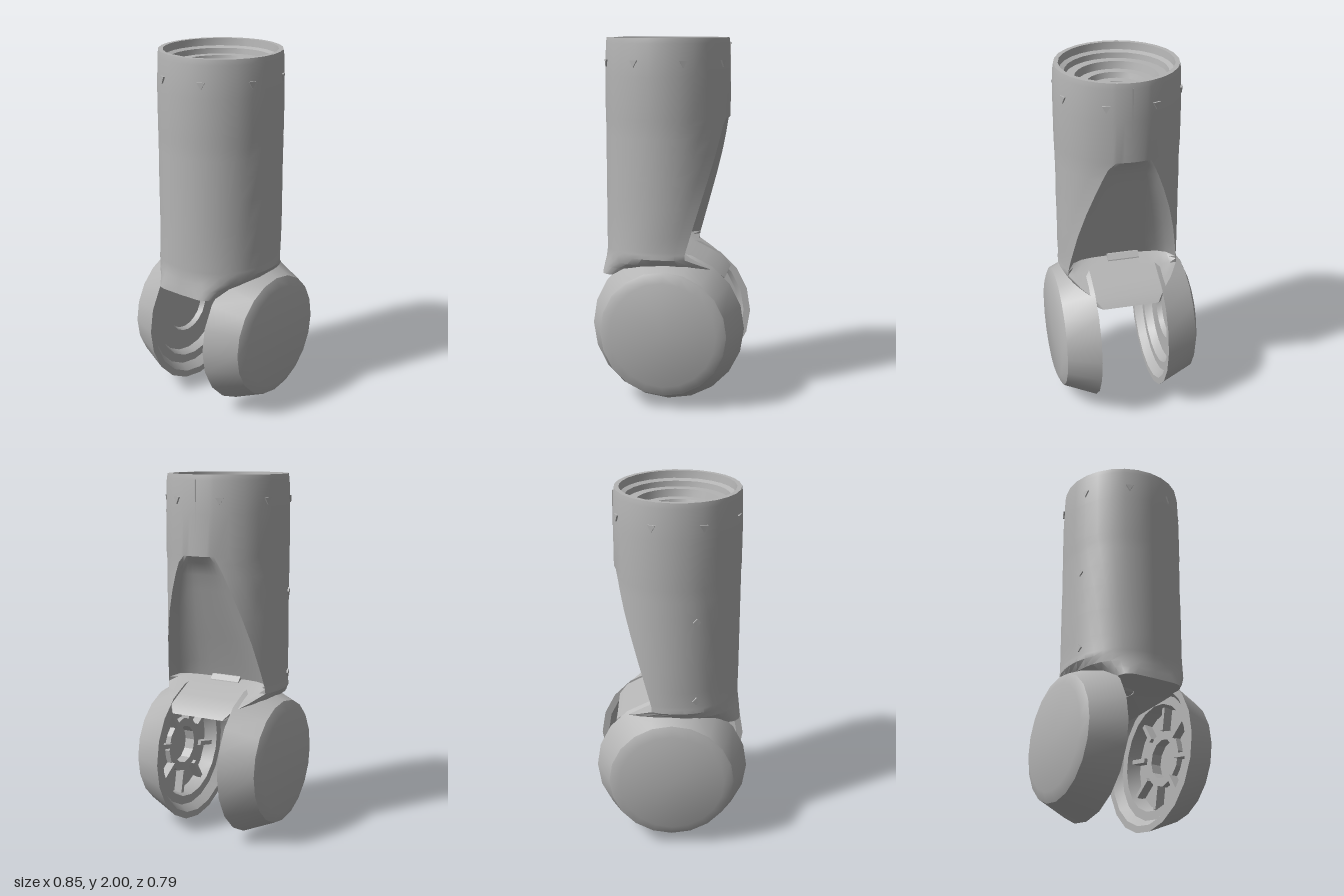
import * as THREE from 'three';
import { toCreasedNormals } from 'three/addons/utils/BufferGeometryUtils.js';

const CX = -0.03;    // axis of the tube
const HUB_Y = 0.424; // axle height

const grey = new THREE.MeshStandardMaterial({ color: 0xb4b4b4 });
grey.name = 'plain grey';

function add(parent, name, geometry, crease = 0.5) {
  const mesh = new THREE.Mesh(toCreasedNormals(geometry, crease), grey);
  mesh.name = name;
  parent.add(mesh);
  return mesh;
}

// Horizontal section: superellipse of power n; cut flattens it on +x, hollow dishes the flat
function section(y, rx, rz, n = 2, cut = null, hollow = 0) {
  const ARC = 24, CHORD = 10, pts = [];
  const a0 = cut === null ? 0.3 : Math.acos(Math.pow((cut - CX) / rx, n / 2));
  for (let i = 0; i < ARC + CHORD; i++) {
    const onChord = i < CHORD;
    const s = onChord ? (i / CHORD) * 2 - 1 : 0;
    const t = onChord ? s * a0 : a0 + ((i - CHORD) / ARC) * (2 * Math.PI - 2 * a0);
    const c = Math.cos(t), d = Math.sin(t);
    let x = CX + rx * Math.sign(c) * Math.pow(Math.abs(c), 2 / n);
    const z = rz * Math.sign(d) * Math.pow(Math.abs(d), 2 / n);
    if (cut !== null && onChord) x = Math.min(x, cut - hollow * (1 - s ** 4));
    pts.push([x, y, z]);
  }
  return pts;
}

// Skin over a closed run of sections
function loft(rings) {
  const n = rings[0].length, index = [];
  for (let i = 0; i < rings.length; i++) {
    const k = (i + 1) % rings.length;
    for (let j = 0; j < n; j++) {
      const m = (j + 1) % n;
      const a = i * n + j, b = i * n + m, c = k * n + j, d = k * n + m;
      index.push(a, c, b, b, c, d);
    }
  }
  const g = new THREE.BufferGeometry();
  g.setAttribute('position', new THREE.Float32BufferAttribute(rings.flat(2), 3));
  g.setIndex(index);
  g.computeVertexNormals();
  return g;
}

function createTube() {
  const rings = [
    // saddle between the hubs, rounded along the hub outline on +x
    section(0.70, 0.355, 0.20, 6, 0.31),
    section(0.745, 0.35, 0.245, 3.5, 0.265),
    section(0.785, 0.345, 0.31, 2.4, 0.19),
    section(0.825, 0.342, 0.338, 2.1, 0.11),
    section(0.85, 0.342, 0.336, 2.1, 0.11, 0.06),
    section(0.865, 0.342, 0.335, 2.1, 0.113, 0.1),
  ];
  // sloping dished scoop on the +x side: height, edge position, depth of the dish
  const scoop = [
    [0.95, 0.137, 0.095], [1.1, 0.18, 0.08], [1.25, 0.223, 0.065],
    [1.38, 0.257, 0.05], [1.47, 0.277, 0.035], [1.535, 0.29, 0.015],
  ];
  for (const [y, x, depth] of scoop) rings.push(section(y, 0.343, 0.338, 2, x, depth));
  // plain upper wall, then down through the stepped socket and the centre bore
  const steps = [
    [0.345, 1.575], [0.345, 1.8], [0.34, 1.97], [0.335, 2.0], [0.31, 2.0], [0.305, 1.96],
    [0.28, 1.95], [0.275, 1.92], [0.225, 1.92], [0.215, 1.88],
    [0.165, 1.88], [0.155, 1.85], [0.1, 1.85], [0.09, 1.5], [0.07, 0.75],
  ];
  for (const [r, y] of steps) rings.push(section(y, r, r * 0.985));
  return loft(rings);
}

// One hub, built facing +z; inner face toward z = 0
function createHub(name, finned) {
  const hub = new THREE.Group();
  hub.name = name;
  const floor = finned ? 0.31 : 0.28;
  const pit = finned ? 0.34 : 0.31;
  const profile = [
    [0, pit], [0.15, pit], [0.16, floor], [0.28, floor], [0.30, 0.235], [0.35, 0.235],
    [0.385, 0.19], [0.423, 0.19], [0.345, 0.37], [0.335, 0.375], [0.29, 0.393], [0, 0.397],
  ].map(([r, z]) => new THREE.Vector2(r, z));
  const shell = new THREE.LatheGeometry(profile, 20);
  shell.rotateX(Math.PI / 2);
  add(hub, 'hubShell', shell);
  if (finned) {
    // radial fins and a central ring inside the hollow
    for (let i = 0; i < 8; i++) {
      const fin = new THREE.BoxGeometry(0.13, 0.025, 0.06);
      fin.translate(0.22, 0, 0.29);
      fin.rotateZ((i / 8) * Math.PI * 2 + 0.2);
      add(hub, 'hubFin', fin);
    }
    const ring = [[0.11, 0.35], [0.11, 0.28], [0.16, 0.28], [0.16, 0.35]];
    const g = new THREE.LatheGeometry(ring.map(([r, z]) => new THREE.Vector2(r, z)), 12);
    g.rotateX(Math.PI / 2);
    add(hub, 'hubInnerRing', g);
  }
  return hub;
}

// Thin stud lying on the tube wall at a given angle and height
function addStud(parent, name, sides, angle, y, size) {
  const g = new THREE.CylinderGeometry(size, size, 0.009, sides);
  g.rotateX(Math.PI / 2);
  const stud = add(parent, name, g);
  stud.position.set(CX + 0.345 * Math.sin(angle), y, 0.34 * Math.cos(angle));
  stud.rotation.y = angle;
}

export function createModel() {
  const model = new THREE.Group();
  model.name = 'jointedLimb';

  add(model, 'tube', createTube(), 0.55);

  // ring of small triangles below the rim
  for (let i = 0; i < 8; i++) {
    addStud(model, 'rimTriangle', 3, ((i + 0.5) / 8) * Math.PI * 2, 1.87, 0.025);
  }
  // pair of small diamonds on the back of the tube
  for (const y of [1.36, 0.9]) addStud(model, 'wallDiamond', 4, Math.PI + 0.3, y, 0.022);

  // seam down the +x side of the rim
  const seam = add(model, 'rimSeam', new THREE.BoxGeometry(0.006, 0.27, 0.006));
  seam.position.set(CX + 0.343, 1.84, 0);

  // drum at the foot of the bore
  const drumShape = new THREE.CylinderGeometry(0.07, 0.07, 0.18, 12);
  drumShape.rotateX(Math.PI / 2);
  add(model, 'boreDrum', drumShape, 0.3).position.set(-0.01, 0.82, -0.02);

  const frontHub = createHub('frontHub', true);
  frontHub.position.y = HUB_Y;
  const backHub = createHub('backHub', false);
  backHub.position.y = HUB_Y;
  backHub.rotation.y = Math.PI;
  model.add(frontHub, backHub);

  return model;
}
